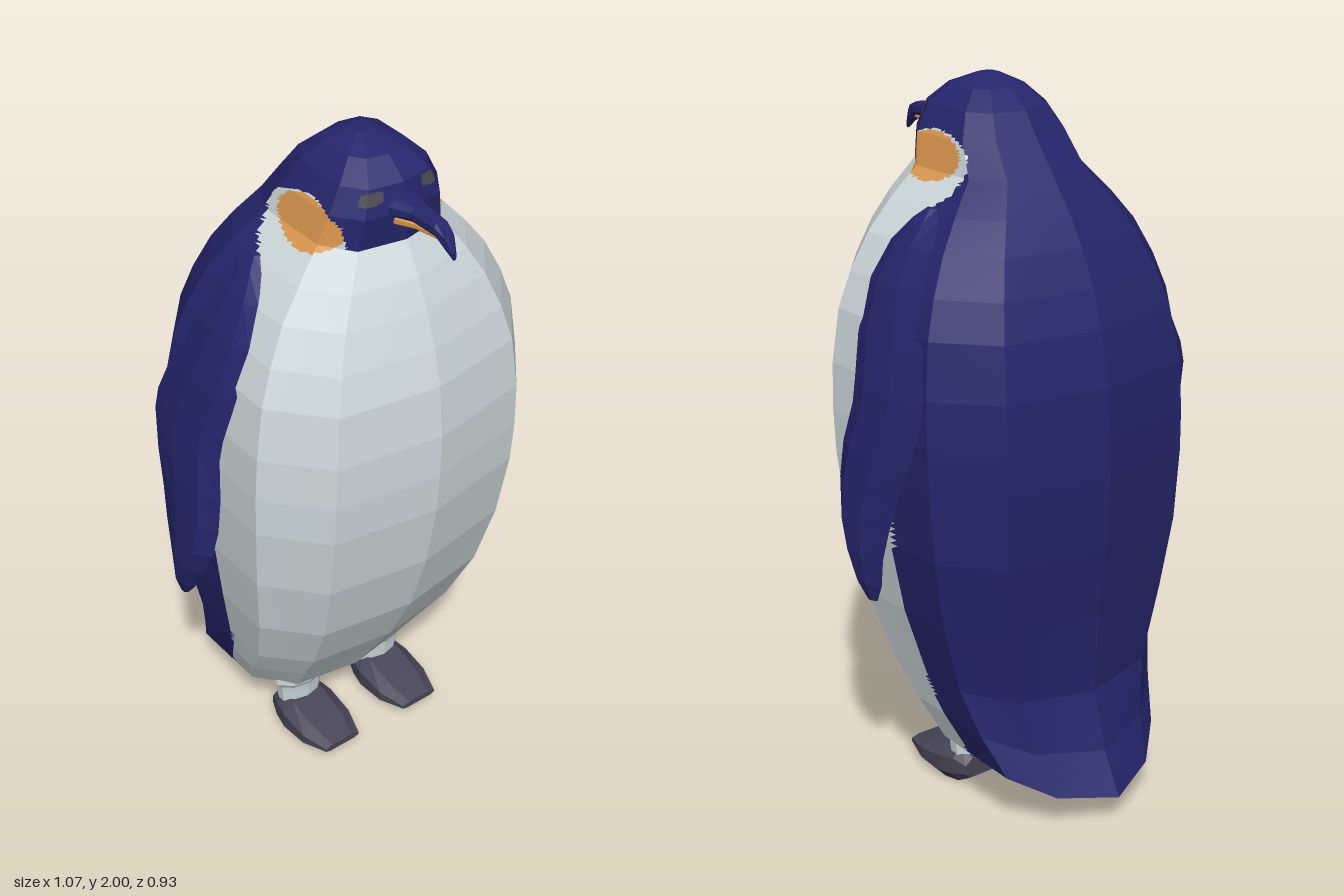
import * as THREE from 'three';

const mat = (name, color) => {
  const m = new THREE.MeshStandardMaterial({ color });
  m.name = name;
  return m;
};

// Straight-line interpolation through [input, output] pairs
function interp(pairs, t) {
  if (t <= pairs[0][0]) return pairs[0][1];
  for (let i = 1; i < pairs.length; i++) {
    const [a, va] = pairs[i - 1], [b, vb] = pairs[i];
    if (t <= b) return va + (vb - va) * (t - a) / (b - a);
  }
  return pairs[pairs.length - 1][1];
}

// Faceted skin over closed rings, closed at both ends. Each facet is cut into
// n x n cells, and pick(centre) chooses the material index of every triangle.
function loft(name, rings, materials, n = 1, pick = () => 0) {
  const collapse = ring => {
    const c = ring.reduce((s, p) => s.add(p), new THREE.Vector3()).divideScalar(ring.length);
    return ring.map(() => c);
  };
  const all = [collapse(rings[0]), ...rings, collapse(rings[rings.length - 1])];
  const buckets = materials.map(() => []);
  const tri = (a, b, c) => {
    const centre = a.clone().add(b).add(c).divideScalar(3);
    const out = buckets[pick(centre)];
    for (const p of [a, b, c]) out.push(p.x, p.y, p.z);
  };
  for (let i = 0; i + 1 < all.length; i++) {
    for (let k = 0; k < all[i].length; k++) {
      const k2 = (k + 1) % all[i].length;
      const at = (u, v) => all[i][k].clone().lerp(all[i][k2], u / n)
        .lerp(all[i + 1][k].clone().lerp(all[i + 1][k2], u / n), v / n);
      for (let u = 0; u < n; u++) for (let v = 0; v < n; v++) {
        const a = at(u, v), b = at(u + 1, v), c = at(u + 1, v + 1), d = at(u, v + 1);
        if (i > 0 || v > 0) tri(a, b, c); else tri(a, b, c);
        tri(a, c, d);
      }
    }
  }
  const geo = new THREE.BufferGeometry();
  geo.setAttribute('position', new THREE.Float32BufferAttribute(buckets.flat(), 3));
  let start = 0;
  buckets.forEach((b, i) => {
    geo.addGroup(start, b.length / 3, i);
    start += b.length / 3;
  });
  geo.computeVertexNormals();
  const mesh = new THREE.Mesh(geo, materials.length > 1 ? materials : materials[0]);
  mesh.name = name;
  return mesh;
}

// Eight-sided sections stacked along z: [z, half width, bottom, top]
const alongZ = rows => rows.map(([z, w, y0, y1]) => {
  const m = (y0 + y1) / 2, h = (y1 - y0) / 2;
  return [[1, -.5], [1, .4], [.6, 1], [-.6, 1], [-1, .4], [-1, -.5], [-.75, -1], [.75, -1]]
    .map(([a, b]) => new THREE.Vector3(a * w, m + b * h, z));
});

// Torso, tail and head: [y, half width, front z, back z, tail droop]
const BODY = [
  [.19, .28, .10, -.46, 1], [.30, .32, .17, -.40, .9], [.42, .35, .25, -.355, .5],
  [.6, .39, .34, -.365, .1], [.8, .42, .40, -.39, 0], [1, .435, .435, -.40, 0],
  [1.12, .437, .443, -.399, 0], [1.25, .432, .445, -.39, 0], [1.4, .41, .43, -.36, 0],
  [1.5, .375, .405, -.325, 0], [1.6, .325, .37, -.28, 0], [1.68, .265, .335, -.23, 0],
  [1.765, .19, .285, -.165, 0], [1.85, .17, .29, -.10, 0], [1.92, .135, .27, -.05, 0],
  [1.97, .085, .21, .01, 0], [2, .025, .13, .075, 0],
];
const SECTION = [[0, 1], [.69, .88], [1, .5], [1, -.5], [.69, -.88],
  [0, -1], [-.69, -.88], [-1, -.5], [-1, .5], [-.69, .88]];

// Edge of the dark back (z for each y) and of the dark hood (y for each z)
const BACK_EDGE = [[.1, -.15], [.2, -.13], [.3, -.08], [.4, -.045], [.55, -.02], [.7, -.005],
  [1.2, -.02], [1.6, 0], [1.68, .03], [1.72, -.02], [1.78, -.04], [1.84, -.02], [1.87, 0]];
const HOOD_EDGE = [[-.04, 1.81], [0, 1.84], [.06, 1.86], [.12, 1.868], [.18, 1.855],
  [.22, 1.82], [.235, 1.765]];

// 0 navy, 1 white, 2 orange, 3 eye
function plumage({ x, y, z }) {
  if (Math.abs(x) > .06 && Math.hypot(z - .255, y - 1.895) < .017) return 3;
  if (z < interp(BACK_EDGE, y) || y > interp(HOOD_EDGE, z)) return 0;
  return Math.hypot((z - .115) / .115, (y - 1.8) / .062) < 1 ? 2 : 1;
}

// Flipper: [y, front z, back z, outer x, inner x]
const FLIPPER = [
  [.67, -.01, -.045, .512, .492], [.72, .03, -.07, .528, .482], [.8, .075, -.08, .535, .476],
  [.88, .115, -.10, .532, .468], [.97, .132, -.125, .52, .458], [1.07, .13, -.16, .505, .448],
  [1.18, .107, -.19, .482, .436], [1.24, .11, -.187, .468, .428], [1.36, .13, -.15, .438, .40],
  [1.5, .135, -.105, .392, .355], [1.6, .108, -.07, .342, .305], [1.66, .065, -.045, .3, .265],
  [1.69, .03, -.01, .272, .25],
];

export function createModel() {
  const navy = mat('navy plumage', 0x25256c);
  const white = mat('white plumage', 0xcfd9dc);
  const orange = mat('orange patch', 0xdd994f);
  const eye = mat('eye grey', 0x4b4b52);
  const slate = mat('slate foot', 0x474556);
  const model = new THREE.Group();
  model.name = 'penguin';

  const bodyRings = BODY.map(([y, w, zf, zb, droop]) => SECTION.map(([a, u]) => {
    const back = Math.max(0, -u);
    return new THREE.Vector3(
      a * w * (1 - .2 * droop * back * back),
      y - .11 * droop * back * back,
      (zf + zb) / 2 + u * (zf - zb) / 2 + (Math.abs(u) < 1 ? .04 * droop * back : 0));
  }));
  model.add(loft('body', bodyRings, [navy, white, orange, eye], 12, plumage));

  // Beak halves
  model.add(loft('upperBeak', alongZ([[.26, .06, 1.838, 1.885], [.33, .028, 1.845, 1.882],
    [.41, .022, 1.842, 1.877], [.445, .014, 1.815, 1.862], [.465, .005, 1.795, 1.82]]), [navy]));
  model.add(loft('lowerBeak', alongZ([[.26, .045, 1.812, 1.842], [.34, .022, 1.826, 1.848],
    [.43, .01, 1.832, 1.842]]), [orange]));

  const flipperRings = FLIPPER.map(([y, zf, zb, xo, xi]) => {
    const xm = (xo + xi) / 2;
    return [[xm, 0], [xo, .22], [xo, .6], [xm, 1], [xi, .7], [xi, .25]]
      .map(([x, t]) => new THREE.Vector3(x, y, zf + (zb - zf) * t));
  });
  const footRings = alongZ([[-.04, .062, .025, .085], [0, .078, .004, .115],
    [.05, .088, 0, .105], [.14, .085, .012, .08], [.22, .06, .035, .055]]);

  for (const [side, s] of [['left', 1], ['right', -1]]) {
    const flipper = loft(side + 'Flipper', flipperRings, [navy]);
    flipper.scale.x = s;
    model.add(flipper);

    // Leg flares where it meets the belly
    const leg = new THREE.Group();
    leg.name = side + 'Leg';
    leg.position.x = .145 * s;
    const shinGeo = new THREE.LatheGeometry(
      [[.045, .08], [.05, .14], [.053, .16], [.064, .18], [.064, .21]]
        .map(p => new THREE.Vector2(...p)), 10).toNonIndexed();
    shinGeo.scale(1.5, 1, .95);
    shinGeo.computeVertexNormals();
    const shin = new THREE.Mesh(shinGeo, white);
    shin.name = side + 'Shin';
    shin.position.z = .008;
    leg.add(shin, loft(side + 'Foot', footRings, [slate]));
    model.add(leg);
  }
  return model;
}
